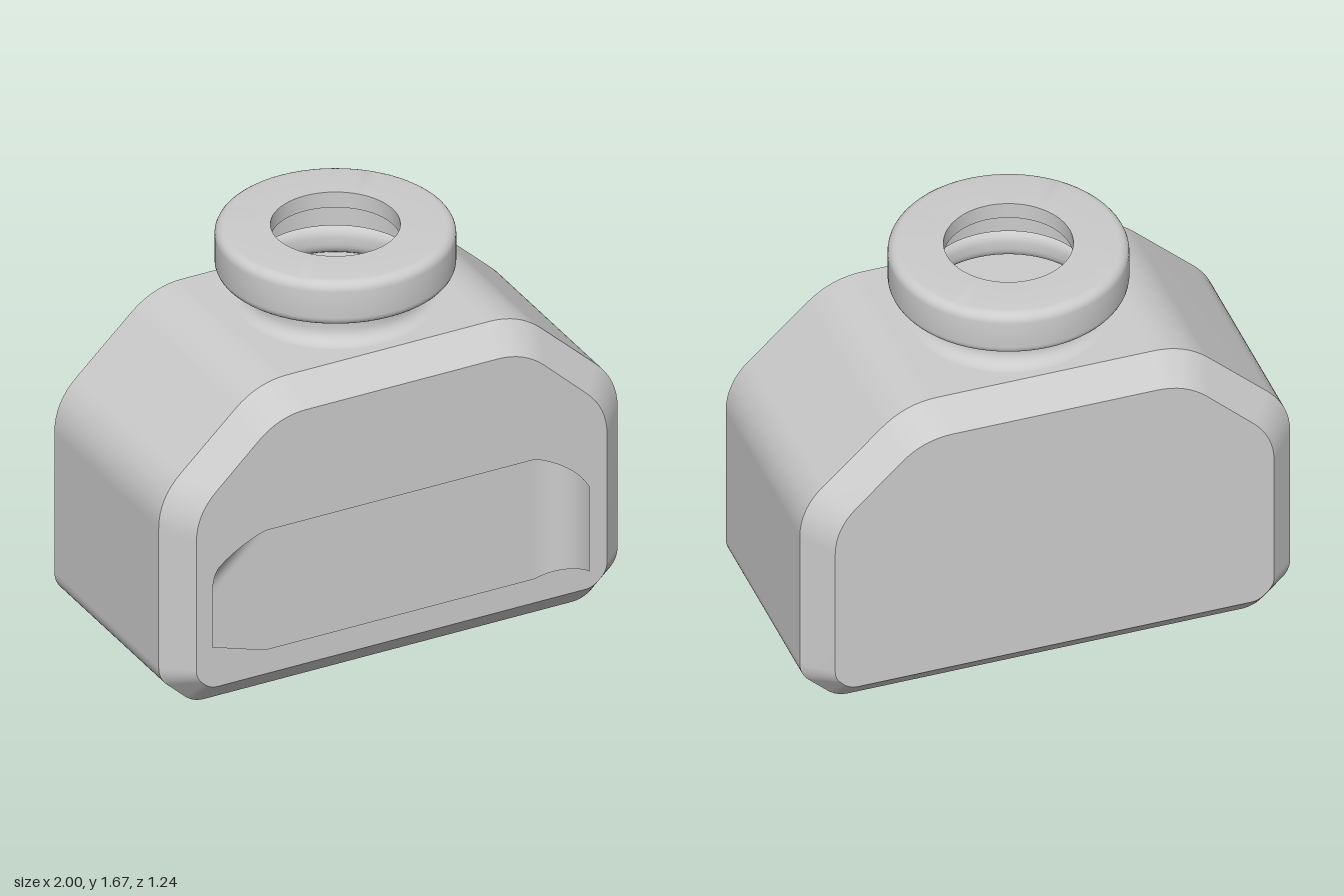
import * as THREE from 'three';
import { toCreasedNormals } from 'three/addons/utils/BufferGeometryUtils.js';

const grey = new THREE.MeshStandardMaterial({ color: 0xcccccc });
const greyDouble = new THREE.MeshStandardMaterial({ color: 0xcccccc, side: THREE.DoubleSide });

function add(parent, name, geometry, material = grey) {
  const mesh = new THREE.Mesh(geometry, material);
  mesh.name = name;
  parent.add(mesh);
  return mesh;
}

// Mirror the right-hand corners [x, y, rounding] and round each one, counterclockwise.
function outline(half) {
  const corners = [...half, ...half.map(([x, y, r]) => [-x, y, r]).reverse()];
  const n = corners.length;
  const points = [];
  corners.forEach(([x, y, r], i) => {
    const c = new THREE.Vector2(x, y);
    const toward = ([px, py]) => new THREE.Vector2(px, py).sub(c).setLength(r).add(c);
    const curve = new THREE.QuadraticBezierCurve(
      toward(corners[(i + n - 1) % n]), c, toward(corners[(i + 1) % n]));
    points.push(...curve.getPoints(8));
  });
  return points;
}

// Closed band of faces from a front ring to a ring behind it.
function band(front, zFront, back, zBack) {
  const n = front.length;
  const positions = [];
  const index = [];
  front.forEach((p) => positions.push(p.x, p.y, zFront));
  back.forEach((p) => positions.push(p.x, p.y, zBack));
  for (let i = 0; i < n; i++) {
    const j = (i + 1) % n;
    index.push(i, n + i, n + j, i, n + j, j);
  }
  const g = new THREE.BufferGeometry();
  g.setAttribute('position', new THREE.Float32BufferAttribute(positions, 3));
  g.setIndex(index);
  g.computeVertexNormals();
  return g;
}

function lathe(points) {
  const g = new THREE.LatheGeometry(points.map(([r, y]) => new THREE.Vector2(r, y)), 64);
  return toCreasedNormals(g, 0.7);
}

// Points of an arc in the lathe profile, angles in quarter turns.
function arc(cx, cy, rx, ry, from, to, steps = 6) {
  return Array.from({ length: steps + 1 }, (_, i) => {
    const a = (from + (to - from) * i / steps) * Math.PI / 2;
    return [cx + rx * Math.cos(a), cy + ry * Math.sin(a)];
  });
}

function makeBody() {
  const body = new THREE.Group();
  body.name = 'body';
  const outer = outline([[0.85, 0, 0.05], [1, 0.14, 0.05], [1, 0.935, 0.13], [0.57, 1.335, 0.13]]);
  const inner = outline([[0.835, 0.11, 0.035], [0.895, 0.17, 0.035], [0.895, 0.89, 0.12], [0.535, 1.23, 0.12]]);
  add(body, 'bodySides', band(outer, 0.34, outer, -0.51));
  add(body, 'frontBevel', band(inner, 0.45, outer, 0.34));
  add(body, 'backBevel', band(outer, -0.51, inner, -0.62));
  const face = new THREE.ShapeGeometry(new THREE.Shape(inner));
  add(body, 'frontFace', face).position.z = 0.45;
  const back = add(body, 'backFace', face);
  back.rotation.y = Math.PI;
  back.position.z = -0.62;
  return body;
}

function makeNeck() {
  const neck = new THREE.Group();
  neck.name = 'neck';
  neck.position.z = -0.09;
  // Waisted neck flaring into the body and the lip
  add(neck, 'neckWall', lathe([
    ...arc(0.385, 1.39, 0.055, 0.055, 3, 2),
    ...arc(0.385, 1.42, 0.055, 0.055, 2, 1),
  ]), greyDouble);
  // Thick rounded lip with the mouth opening
  add(neck, 'lip', lathe([
    [0.33, 1.475],
    ...arc(0.425, 1.515, 0.04, 0.04, -1, 0),
    ...arc(0.425, 1.628, 0.04, 0.04, 0, 1),
    [0.25, 1.668], [0.25, 1.6], [0.33, 1.6], [0.33, 1.475],
  ]), greyDouble);
  return neck;
}

// Thin label: chamfered ends, right end curled forward, upper left corner peeling.
function makeLabel() {
  const g = new THREE.PlaneGeometry(1.645, 1, 90, 28);
  const p = g.attributes.position;
  const bend = 0.575, radius = 0.15;
  for (let i = 0; i < p.count; i++) {
    const u = p.getX(i) - 0.0075;
    const past = Math.max(0, -0.6 - u, u - bend);
    const y = 0.485 + p.getY(i) * 2 * (0.265 - 0.32 * past);
    let x = u, z = 0.458;
    if (u > bend) {
      const a = (u - bend) / radius;
      x = bend + radius * Math.sin(a);
      z += radius * (1 - Math.cos(a)) * 1.07;
    }
    const lift = Math.max(0, (-0.21 * (u + 0.83) + 0.23 * (y - 0.54)) / 0.311);
    if (u < 0) z += 5.5 * lift * lift;
    p.setXYZ(i, x, y, z);
  }
  g.computeVertexNormals();
  return g;
}

export function createModel() {
  const model = new THREE.Group();
  model.name = 'bottle';
  model.add(makeBody(), makeNeck());
  add(model, 'label', makeLabel(), greyDouble);
  return model;
}
